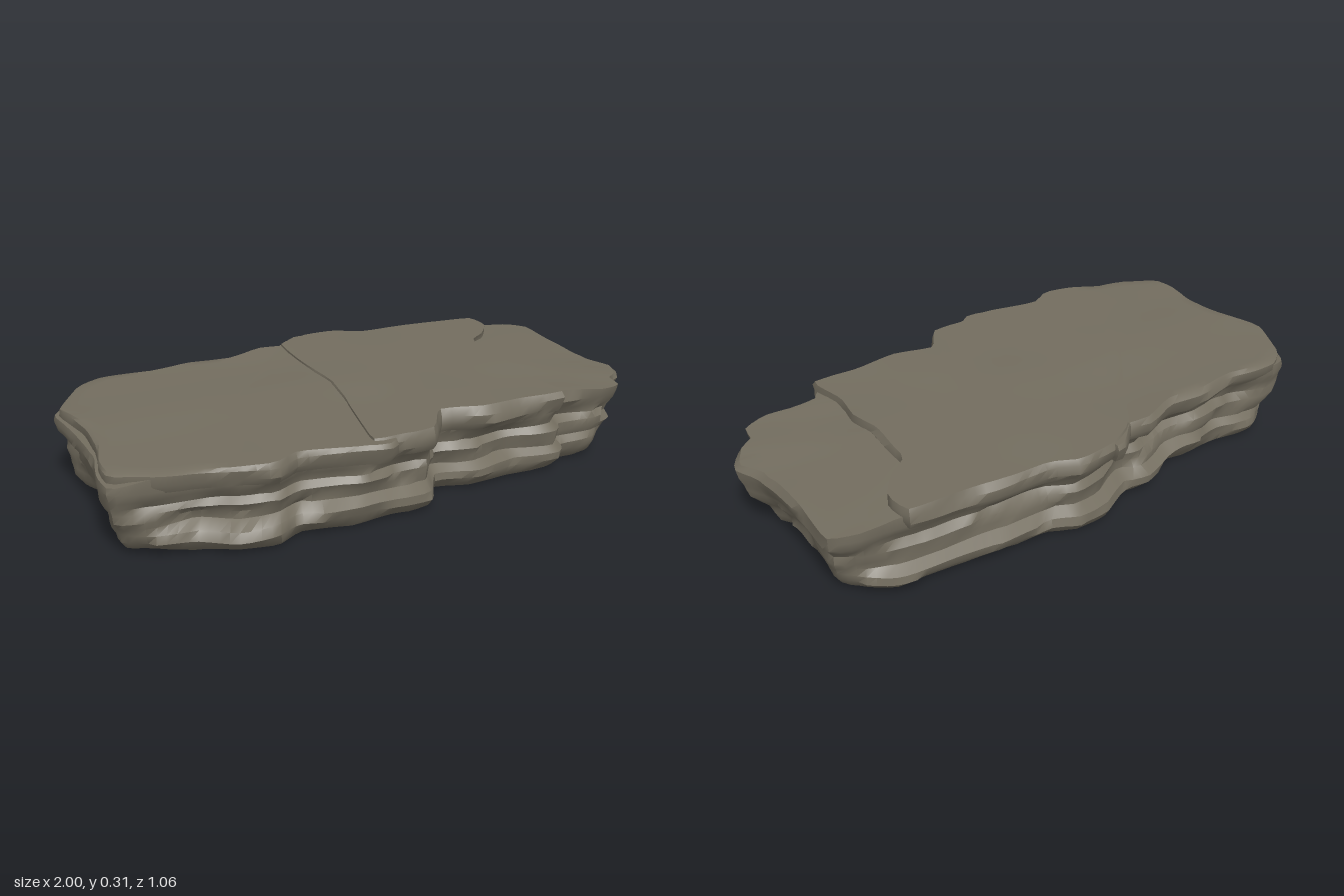
import * as THREE from 'three';
import { toCreasedNormals } from 'three/addons/utils/BufferGeometryUtils.js';

// Slab outline as [x, z], from the left end round the back, right end and front
const OUTLINE = [
  [-1, -0.19], [-0.95, -0.29], [-0.9, -0.37], [-0.82, -0.41], [-0.62, -0.39], [-0.48, -0.42], [-0.33, -0.41],
  [-0.2, -0.46], [-0.12, -0.45], [0, -0.52], [0.13, -0.535], [0.22, -0.49], [0.4, -0.49], [0.55, -0.47],
  [0.7, -0.465], [0.85, -0.435], [0.93, -0.38], [0.93, -0.2], [0.94, -0.05], [0.96, 0.04], [1, 0.12],
  [0.96, 0.2], [0.91, 0.23], [0.9, 0.3], [0.82, 0.34], [0.66, 0.34], [0.62, 0.39], [0.45, 0.39], [0.3, 0.41],
  [0.15, 0.38], [0.08, 0.49], [-0.05, 0.5], [-0.18, 0.525], [-0.37, 0.49], [-0.46, 0.535], [-0.58, 0.515],
  [-0.7, 0.47], [-0.82, 0.46], [-0.93, 0.42], [-0.95, 0.33], [-0.94, 0.2], [-0.96, 0], [-0.98, -0.1],
];

// Seeded value noise, 0..1
function hash(x, y, z) {
  const s = Math.sin(x * 127.1 + y * 311.7 + z * 74.7 + 3.3) * 43758.5453;
  return s - Math.floor(s);
}
function noise(x, y, z) {
  const i = [x, y, z].map(Math.floor);
  const f = [x - i[0], y - i[1], z - i[2]].map((t) => t * t * (3 - 2 * t));
  let sum = 0;
  for (let k = 0; k < 8; k++) {
    const b = [k & 1, (k >> 1) & 1, k >> 2];
    const w = b.reduce((p, on, a) => p * (on ? f[a] : 1 - f[a]), 1);
    sum += w * hash(i[0] + b[0], i[1] + b[1], i[2] + b[2]);
  }
  return sum;
}
const { lerp, smoothstep } = THREE.MathUtils;

// Closed layer of rock: rings run from the underside centre, up the sides, to the top centre.
// Each ring has y, inset on the long sides, inset at the ends, rough = chipping depth,
// shrink = how far it closes toward the centre, top = height rule for the upper face.
function rockLayer(outline, centre, count, rings) {
  const path = new THREE.CatmullRomCurve3(
    outline.map(([x, z]) => new THREE.Vector3(x, 0, z)), true, 'catmullrom', 0.2);
  const points = path.getSpacedPoints(count).slice(0, count);
  const [cx, cz] = centre;
  const position = [];
  const index = [];
  rings.forEach(({ y, side = 0, end = side, rough = 0, shrink = 0, top }) => {
    points.forEach((p) => {
      // Pull inward toward a spine along the slab
      const dx = (cx - p.x) * 0.35;
      const dz = cz - p.z;
      const length = Math.hypot(dx, dz) || 1;
      const endness = smoothstep(Math.abs(p.x), 0.72, 0.93);
      const broad = noise(p.x * 7, y * 16, p.z * 7);
      const block = hash(Math.floor(p.x * 5.3 + y * 9), Math.floor(y * 15), Math.floor(p.z * 5.3));
      const inset = lerp(side, end, endness) + rough * (broad * 0.75 + block * 0.45 - 0.4);
      let x = p.x + (dx / length) * inset;
      let z = p.z + (dz / length) * inset;
      x = lerp(x, cx, shrink);
      z = lerp(z, cz, shrink);
      const wobble = rough * 0.5 * (noise(p.x * 5 + 9, y * 9, p.z * 5) - 0.5);
      position.push(x, top ? top(x, z) + y : Math.max(0, y + wobble), z);
    });
  });
  for (let r = 0; r < rings.length - 1; r++) {
    for (let i = 0; i < count; i++) {
      const a = r * count + i;
      const b = r * count + (i + 1) % count;
      index.push(a, a + count, b, b, a + count, b + count);
    }
  }
  const geometry = new THREE.BufferGeometry();
  geometry.setAttribute('position', new THREE.Float32BufferAttribute(position, 3));
  geometry.setIndex(index);
  return toCreasedNormals(geometry, 0.65);
}

// Rings that close the upper face
const closeTop = (top, inset, end = inset) =>
  [0, 0.08, 0.2, 0.36, 0.54, 0.75, 1].map((shrink) => ({ y: 0, side: inset, end, shrink, top, rough: 0.015 }));

export function createModel() {
  const group = new THREE.Group();
  const stone = new THREE.MeshStandardMaterial({ color: 0x736d5f });
  stone.name = 'stone';
  const add = (name, geometry) => {
    const mesh = new THREE.Mesh(geometry, stone);
    mesh.name = name;
    group.add(mesh);
  };

  // Main body with worn strata; its top shows as the lower ledge at the right end
  const ledgeTop = (x, z) =>
    0.257 + 0.022 * (1 - smoothstep(x, 0.6, 0.95)) * smoothstep(x, -0.95, -0.8) + 0.012 * (noise(x * 7, 2, z * 7) - 0.5);
  add('strataBody', rockLayer(OUTLINE, [0, 0], 170, [
    { y: 0, side: 0.06, end: 0.13, rough: 0.03, shrink: 1 },
    { y: 0, side: 0.06, end: 0.13, rough: 0.03 },
    { y: 0.018, side: 0.035, end: 0.09, rough: 0.04 },
    { y: 0.05, side: 0.01, end: 0.06, rough: 0.05 },
    { y: 0.078, side: 0.01, end: 0.055, rough: 0.05 },
    { y: 0.1, side: 0.045, end: 0.045, rough: 0.06 },
    { y: 0.125, side: 0.04, end: 0.03, rough: 0.06 },
    { y: 0.155, side: 0.03, end: 0.025, rough: 0.06 },
    { y: 0.178, side: 0.055, end: 0.015, rough: 0.05 },
    { y: 0.205, side: 0.045, end: 0.005, rough: 0.03 },
    { y: 0.235, side: 0.025, end: 0, rough: 0.02 },
    ...closeTop(ledgeTop, 0.03, 0.008),
  ]));

  // Overhanging cap, in two pieces that meet at a crack
  const capRings = (height, end) => {
    const top = (x, z) =>
      height - 0.008 * smoothstep(-x, 0.5, 0.97) + 0.009 * (noise(x * 4, 5, z * 4) - 0.5);
    return [
      { y: 0.225, side: 0.07, end: end + 0.06, shrink: 0.5 },
      { y: 0.225, side: 0.05, end: end + 0.04, rough: 0.02 },
      { y: 0.23, side: 0.015, end: end + 0.01, rough: 0.03 },
      { y: 0.255, side: 0, end, rough: 0.03 },
      { y: 0.283, side: 0.002, end: end + 0.005, rough: 0.025 },
      ...closeTop(top, 0.018, end + 0.02),
    ];
  };
  const left = OUTLINE.filter(([x]) => x < 0.05);
  add('leftCap', rockLayer(left, [-0.45, 0.03], 100, capRings(0.298, 0.025)));

  const step = [[0.72, -0.37], [0.66, -0.28], [0.59, -0.22], [0.595, 0], [0.61, 0.12], [0.59, 0.24]];
  const seam = [[-0.14, 0.5], [-0.1, 0.15], [-0.11, -0.2]];
  const back = OUTLINE.filter(([x, z]) => z < 0 && x > -0.15 && x <= 0.7);
  const front = OUTLINE.filter(([x, z]) => z > 0 && x > -0.1 && x <= 0.62);
  add('rightCap', rockLayer([...back, ...step, ...front, ...seam], [0.25, -0.03], 100, capRings(0.305, 0)));

  return group;
}
